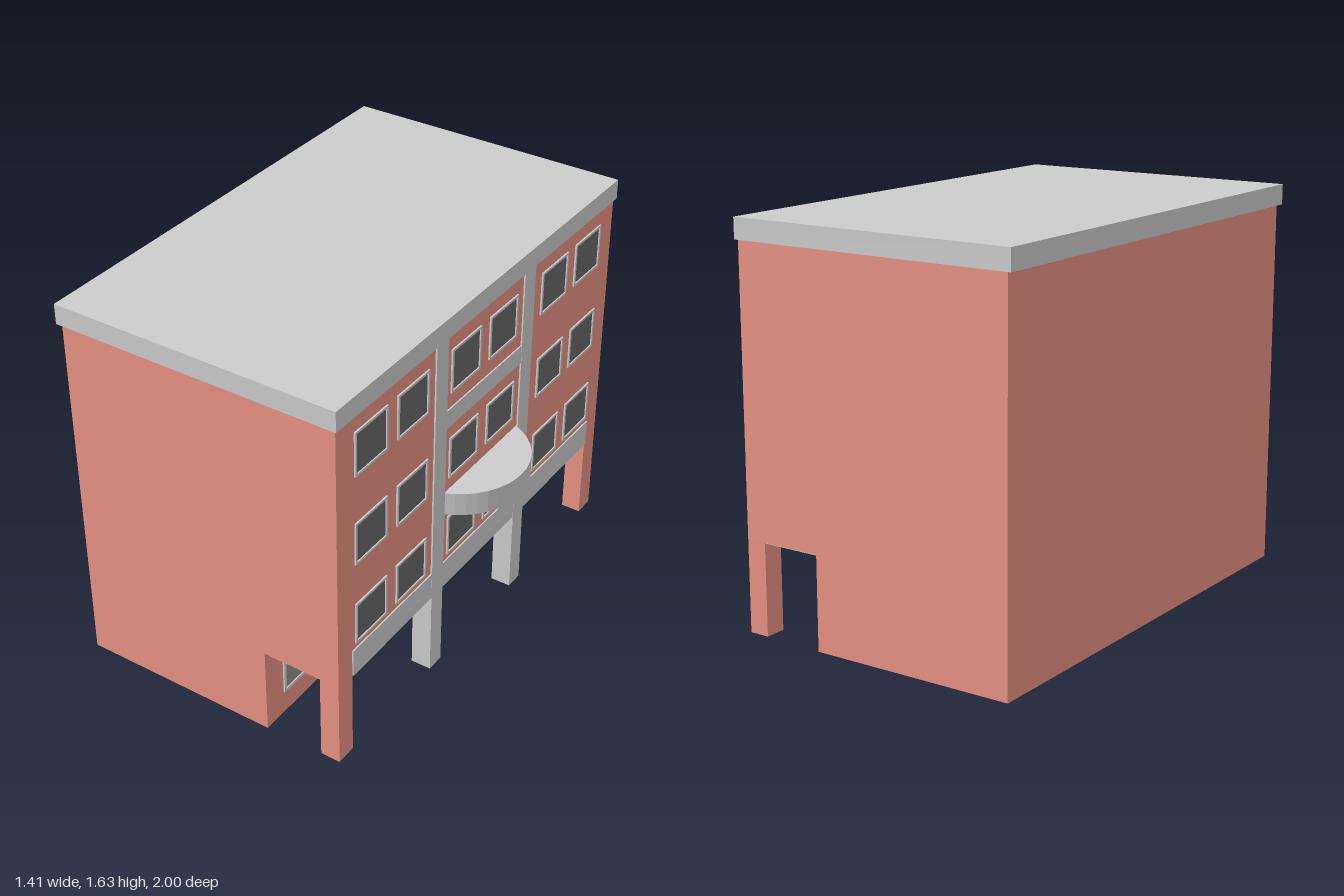
import * as THREE from 'three';

const mat = (color) => new THREE.MeshStandardMaterial({ color, flatShading: true });

export function createModel() {
  const root = new THREE.Group();
  root.name = 'building';
  const brick = mat(0xe89284), grey = mat(0xcccccc), glass = mat(0x686868), shopGlass = mat(0x8e8e8e);

  const add = (name, geometry, material, parent = root) => {
    const mesh = new THREE.Mesh(geometry, material);
    mesh.name = name;
    parent.add(mesh);
    return mesh;
  };
  // Box given by its limits on each axis
  const box = (name, [x0, x1], [y0, y1], [z0, z1], material, parent) => {
    const mesh = add(name, new THREE.BoxGeometry(x1 - x0, y1 - y0, z1 - z0), material, parent);
    mesh.position.set((x0 + x1) / 2, (y0 + y1) / 2, (z0 + z1) / 2);
    return mesh;
  };
  // Framed pane on a wall facing +x
  const pane = (name, x, [y0, y1], [z0, z1], material, t = 0.01) => {
    const group = new THREE.Group();
    group.name = name;
    root.add(group);
    const out = [x - 0.005, x + 0.007];
    for (const y of [y0, y1 - t]) box('frameRail', out, [y, y + t], [z0, z1], grey, group);
    for (const z of [z0, z1 - t]) box('frameStile', out, [y0 + t, y1 - t], [z, z + t], grey, group);
    box('glass', [x - 0.005, x + 0.002], [y0 + t, y1 - t], [z0 + t, z1 - t], material, group);
    return group;
  };

  // Brick body with the ground floor set back under the upper floors
  const profile = new THREE.Shape([
    [-0.69, 0], [0.18, 0], [0.18, 0.385], [0.52, 0.385], [0.52, 1.545], [-0.69, 1.545],
  ].map(([x, y]) => new THREE.Vector2(x, y)));
  const body = new THREE.ExtrudeGeometry(profile, { depth: 1.98, bevelEnabled: false });
  body.translate(0, 0, -0.99);
  add('brickBody', body, brick);

  // Roof slab and arcade ceiling
  box('roof', [-0.71, 0.53], [1.545, 1.63], [-1, 1], grey);
  box('arcadeCeiling', [0.18, 0.519], [0.382, 0.39], [-0.988, 0.988], grey);

  // Brick corner pillars and full-height grey columns
  for (const z of [[0.9, 0.99], [-0.99, -0.9]]) box('cornerPillar', [0.435, 0.52], [0.005, 0.39], z, brick);
  for (const z of [[0.28, 0.36], [-0.35, -0.27]]) {
    box('column', [0.44, 0.527], [0.01, 0.39], z, grey);
    box('columnStrip', [0.51, 0.527], [0.39, 1.545], z, grey);
  }

  // Horizontal bands
  box('arcadeBeam', [0.5, 0.526], [0.38, 0.5], [-0.9, 0.9], grey);
  box('upperBand', [0.51, 0.526], [1.14, 1.22], [-0.27, 0.28], grey);

  // Curved balcony: a circle segment extruded upward
  const arc = Math.asin(0.272 / 0.2925);
  const segment = new THREE.Shape();
  for (let i = 0; i <= 16; i++) {
    const a = -arc + (2 * arc * i) / 16;
    const p = [0.4125 + 0.2925 * Math.cos(a), 0.2925 * Math.sin(a)];
    if (i) segment.lineTo(...p); else segment.moveTo(...p);
  }
  const balcony = new THREE.ExtrudeGeometry(segment, { depth: 0.1, bevelEnabled: false });
  balcony.rotateX(-Math.PI / 2);
  add('balcony', balcony, grey).position.set(0, 0.74, 0.005);

  // Upper windows: three floors of six
  for (const y of [[0.525, 0.71], [0.895, 1.08], [1.285, 1.475]])
    for (const z of [0.778, 0.508, 0.147, -0.123, -0.515, -0.783])
      pane('window', 0.52, y, [z - 0.103, z + 0.103], glass);

  // Ground floor shop windows and double door
  pane('shopWindow', 0.18, [0.105, 0.34], [0.345, 0.88], shopGlass, 0.013);
  pane('shopWindow', 0.18, [0.105, 0.34], [-0.885, -0.35], shopGlass, 0.013);
  pane('doorLeaf', 0.18, [0.005, 0.36], [0.025, 0.26], glass, 0.01);
  pane('doorLeaf', 0.18, [0.005, 0.36], [-0.21, 0.025], glass, 0.01);

  return root;
}
